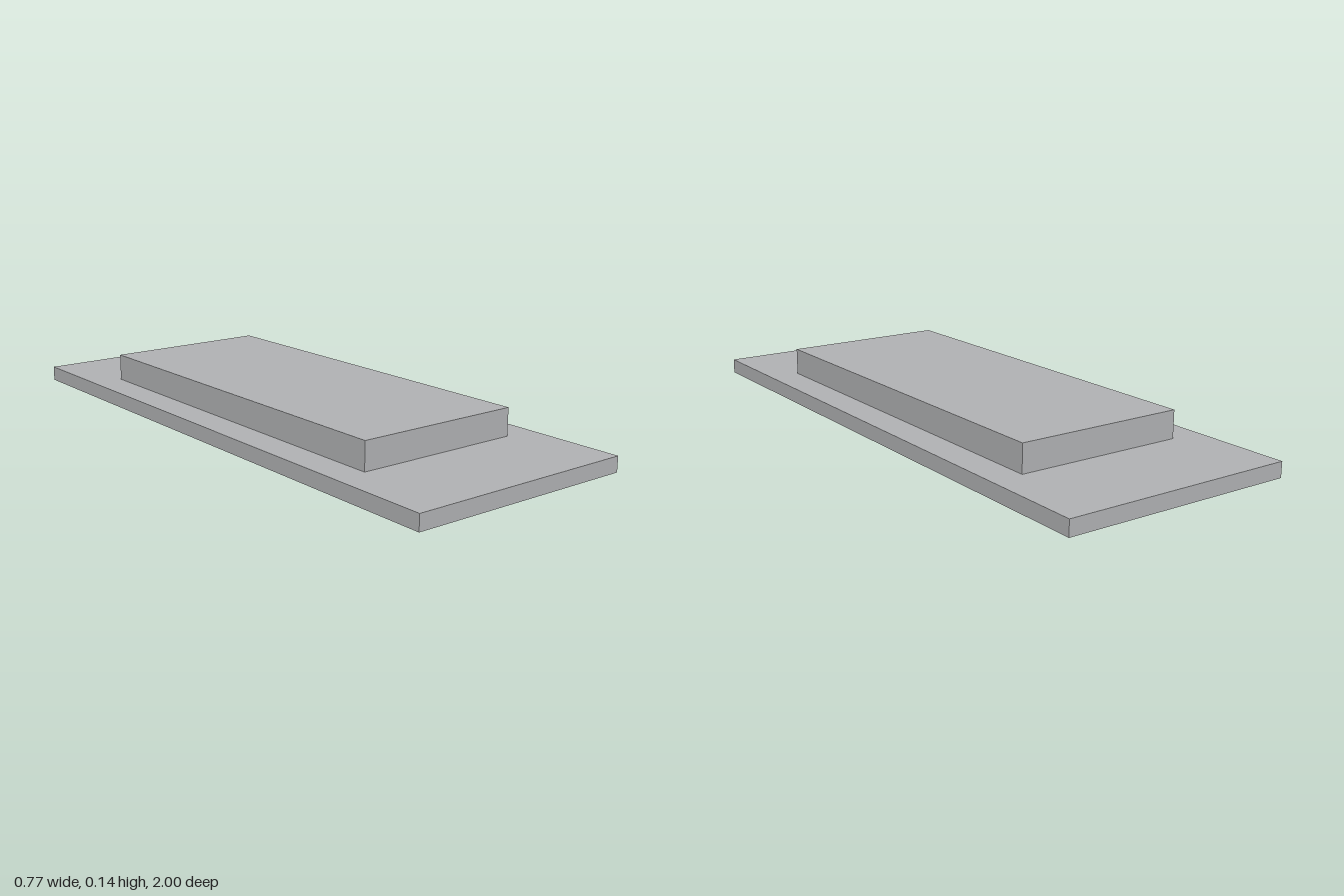
import * as THREE from 'three';

const WIDTH = 0.774, LENGTH = 2, BASE_H = 0.05;
const HOLE = { z: 0.883, rim: 0.085, tip: 0.042, depth: 0.047 };

export function createModel() {
  const group = new THREE.Group();
  const grey = new THREE.MeshStandardMaterial({ color: 0xb0b1b3 });
  grey.name = 'grey';

  const add = (name, geometry, x = 0, y = 0, z = 0) => {
    const mesh = new THREE.Mesh(geometry, grey);
    mesh.name = name;
    mesh.position.set(x, y, z);
    group.add(mesh);
  };

  // Base plate: top and sides, with the box's underside left out
  const plate = new THREE.BoxGeometry(WIDTH, BASE_H, LENGTH);
  const index = Array.from(plate.index.array);
  index.splice(18, 6);
  plate.setIndex(index);
  plate.clearGroups();
  add('basePlate', plate, 0, BASE_H / 2, 0);

  // Underside, pierced by the two screw recesses
  const w = WIDTH / 2, l = LENGTH / 2;
  const outline = new THREE.Shape([
    new THREE.Vector2(-w, -l), new THREE.Vector2(w, -l),
    new THREE.Vector2(w, l), new THREE.Vector2(-w, l),
  ]);
  for (const side of [-1, 1]) {
    outline.holes.push(new THREE.Path().absarc(0, side * HOLE.z, HOLE.rim, 0, Math.PI * 2, true));
  }
  add('underside', new THREE.ShapeGeometry(outline, 24).rotateX(Math.PI / 2));

  // Blind conical recesses, facing inwards
  for (const side of [-1, 1]) {
    const cone = new THREE.LatheGeometry([
      new THREE.Vector2(HOLE.tip, HOLE.depth),
      new THREE.Vector2(HOLE.rim, 0),
    ], 48);
    add('recessWall', cone, 0, 0, side * HOLE.z);
    const cap = new THREE.CircleGeometry(HOLE.tip, 48).rotateX(Math.PI / 2);
    add('recessEnd', cap, 0, HOLE.depth, side * HOLE.z);
  }

  // Raised block on top of the plate
  add('raisedBlock', new THREE.BoxGeometry(0.566, 0.09, 1.344), 0, BASE_H + 0.045, 0);

  return group;
}
